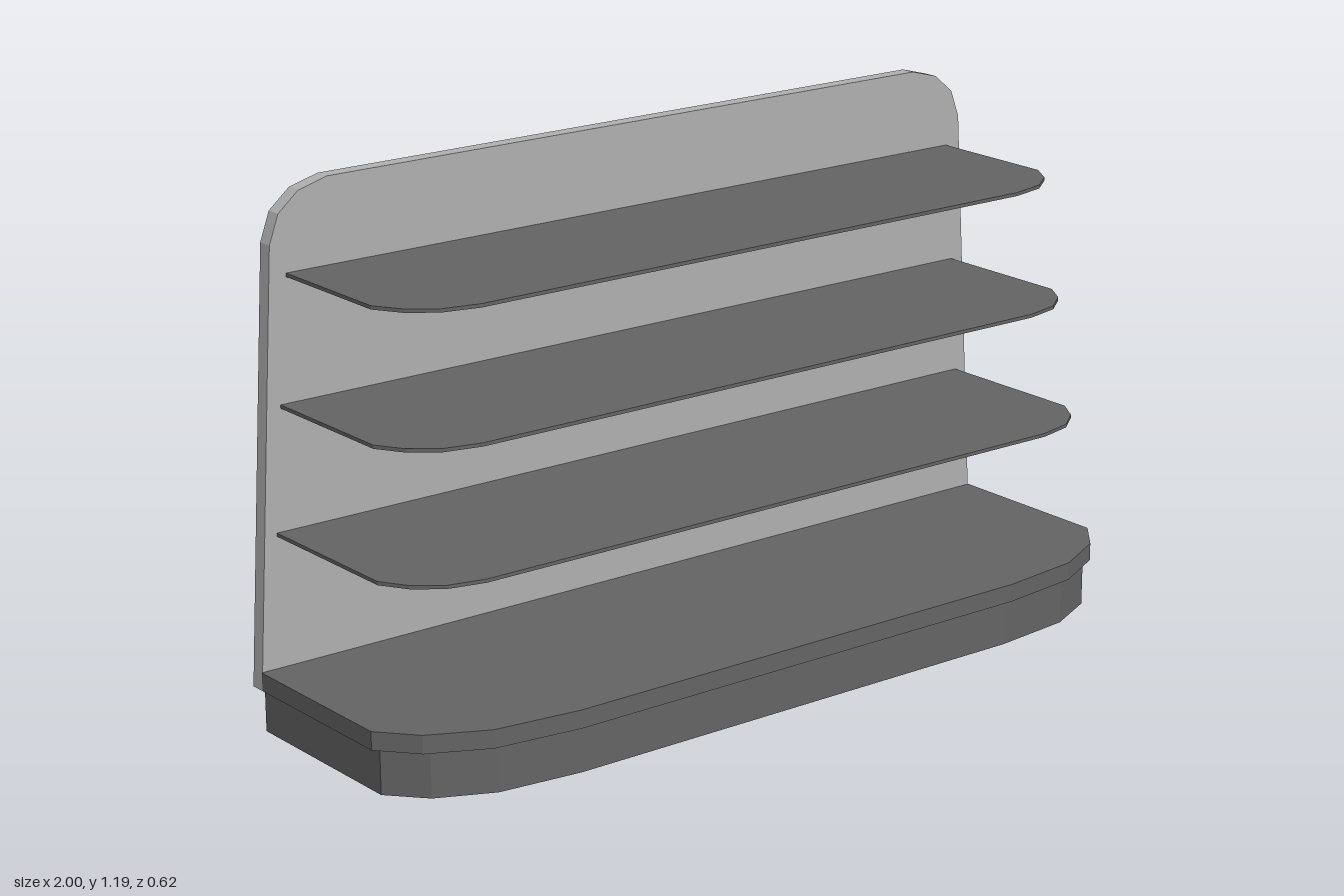
import * as THREE from 'three';

const dark = new THREE.MeshStandardMaterial({ name: 'dark grey metal', color: 0x646464 });
const light = new THREE.MeshStandardMaterial({ name: 'light grey panel', color: 0xb0b0b0 });

// Extrude an outline given by its right half, mirrored across x = 0
function mirroredPlate(half, depth) {
  const left = half.map(([x, y]) => [-x, y]).reverse();
  const shape = new THREE.Shape([...half, ...left].map(([x, y]) => new THREE.Vector2(x, y)));
  return new THREE.ExtrudeGeometry(shape, { depth, bevelEnabled: false });
}

// Horizontal plate with faceted front corners; half is a list of [x, z]
function tray(name, half, y, height) {
  const geometry = mirroredPlate(half.map(([x, z]) => [x, -z]).reverse(), height);
  geometry.rotateX(-Math.PI / 2);
  const mesh = new THREE.Mesh(geometry, dark);
  mesh.name = name;
  mesh.position.y = y;
  return mesh;
}

export function createModel() {
  const group = new THREE.Group();
  group.name = 'displayShelf';

  // Recessed plinth and overhanging bottom deck
  group.add(tray('plinth',
    [[0.98, -0.298], [0.98, 0.138], [0.91, 0.217], [0.785, 0.276], [0.59, 0.298]], 0, 0.103));
  group.add(tray('bottomDeck',
    [[1, -0.275], [1, 0.138], [0.93, 0.22], [0.8, 0.285], [0.6, 0.31]], 0.103, 0.041));

  // Tapered back panel with faceted upper corners
  const panel = new THREE.Mesh(mirroredPlate(
    [[1, 0.103], [0.998, 0.144], [0.943, 1.062], [0.92, 1.125], [0.87, 1.167], [0.8, 1.186]], 0.035), light);
  panel.name = 'backPanel';
  panel.position.z = -0.31;
  group.add(panel);

  // Three thin shelves, narrower and shallower toward the top
  const shelves = [
    ['lowerShelf', 0.44, 0.95, 0.226],
    ['middleShelf', 0.716, 0.93, 0.194],
    ['upperShelf', 0.994, 0.906, 0.163],
  ];
  for (const [name, y, w, front] of shelves) {
    group.add(tray(name, [
      [w, -0.275], [w, front - 0.125], [w - 0.037, front - 0.065],
      [w - 0.095, front - 0.02], [w - 0.18, front],
    ], y - 0.004, 0.008));
  }

  return group;
}
